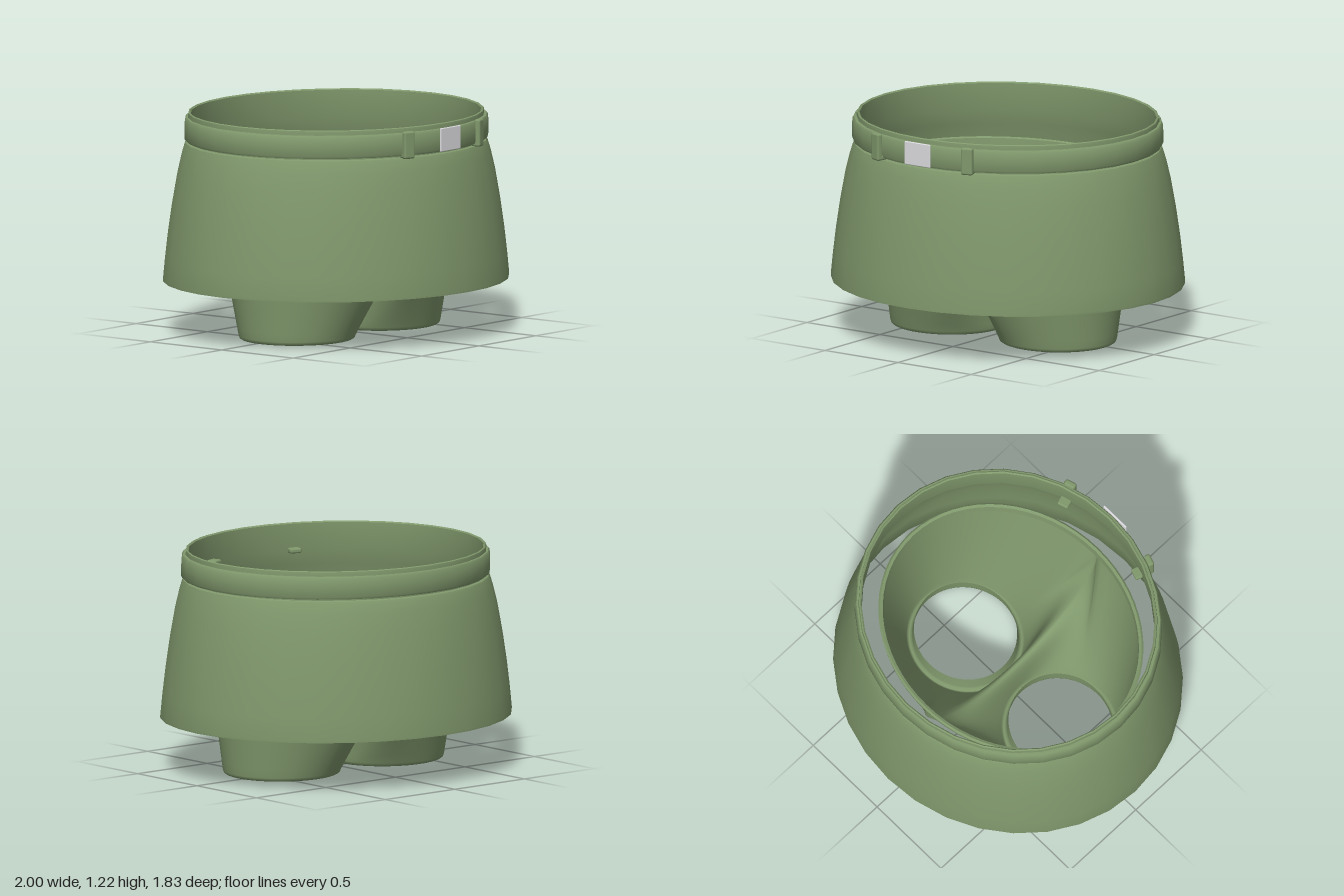
import * as THREE from 'three';
import { mergeGeometries, mergeVertices, toCreasedNormals } from 'three/addons/utils/BufferGeometryUtils.js';
import { RoundedBoxGeometry } from 'three/addons/geometries/RoundedBoxGeometry.js';

const cloth = new THREE.MeshStandardMaterial({ color: 0x80986c, side: THREE.DoubleSide });
cloth.name = 'green cloth';
const metal = new THREE.MeshStandardMaterial({ color: 0xdcdce0 });
metal.name = 'pale metal';

// Skin a stack of closed loops; point(row, col) returns [x, y, z]
function loft(rows, cols, point, flip = false) {
  const pos = [], idx = [];
  for (let j = 0; j < rows; j++) for (let i = 0; i < cols; i++) pos.push(...point(j, i));
  for (let j = 0; j < rows - 1; j++) for (let i = 0; i < cols; i++) {
    const n = (i + 1) % cols;
    const a = j * cols + i, b = j * cols + n, c = a + cols, d = b + cols;
    if (flip) idx.push(a, b, c, b, d, c);
    else idx.push(a, c, b, b, c, d);
  }
  const geo = new THREE.BufferGeometry();
  geo.setAttribute('position', new THREE.Float32BufferAttribute(pos, 3));
  geo.setIndex(idx);
  return geo;
}

// Elliptical lathe: profile of [radiusX, y, radiusZ]
function ellipseLathe(profile, cols, zc = 0) {
  const geo = loft(profile.length, cols, (j, i) => {
    const t = (i / cols) * Math.PI * 2;
    const [rx, y, rz] = profile[j];
    return [rx * Math.cos(t), y, zc + rz * Math.sin(t)];
  });
  return toCreasedNormals(geo, 0.75);
}

function add(parent, name, geo, mat) {
  const mesh = new THREE.Mesh(geo, mat);
  mesh.name = name;
  parent.add(mesh);
  return mesh;
}

// One half of the shorts: a leg opening lofted to half the waist plus the U-shaped seam
function shortsHalf(side) {
  const COLS = 64, STEPS = 20, ZC = 0.015, RIM = 0.92;
  const T = THREE.MathUtils.degToRad(110);
  const hem = [[0.04, 0.12], [0.032, 0.03], [0.027, 0.01], [0.015, 0], [0.005, 0.006]];
  return loft(hem.length + STEPS + 1, COLS, (j, i) => {
    let t = (i / COLS) * Math.PI * 2;
    if (t > Math.PI * 2 - T) t -= Math.PI * 2;
    const ring = (inset, y) => new THREE.Vector3(
      0.37 + (0.33 - inset) * Math.cos(t), y, 0.03 + (0.315 - inset) * Math.sin(t));
    let p;
    if (j < hem.length) p = ring(...hem[j]);
    else {
      const start = ring(0, 0.02), end = new THREE.Vector3();
      let w = 0;
      if (t <= T) {
        const a = (t / T) * Math.PI / 2;
        end.set(0.78 * Math.cos(a), RIM, ZC + 0.665 * Math.sin(a));
      } else {
        const a = ((t - T) / (2 * Math.PI - 2 * T)) * Math.PI;
        w = Math.sin(a);
        end.set(0, RIM - 0.66 * w, ZC + 0.665 * Math.cos(a));
      }
      const ctrl = start.clone().lerp(end, 0.5)
        .lerp(new THREE.Vector3(start.x, end.y, end.z), w);
      p = new THREE.QuadraticBezierCurve3(start, ctrl, end).getPoint((j - hem.length) / STEPS);
      if (j === hem.length + STEPS && t > T) p.x = 0;
    }
    return [p.x * side, p.y, p.z];
  }, side < 0);
}

export function createModel() {
  const group = new THREE.Group();

  // Flared skirt with thin wall, closed at hem and waist
  add(group, 'skirt', ellipseLathe([
    [0.975, 0.3, 0.895], [0.985, 0.288, 0.905], [0.997, 0.288, 0.916], [0.998, 0.3, 0.916],
    [0.986, 0.42, 0.905], [0.969, 0.56, 0.89], [0.945, 0.72, 0.868], [0.915, 0.88, 0.842],
    [0.89, 0.98, 0.82], [0.872, 1.035, 0.805], [0.866, 1.05, 0.798], [0.85, 1.055, 0.784],
    [0.852, 1.2, 0.785], [0.85, 1.213, 0.783], [0.843, 1.217, 0.776], [0.836, 1.21, 0.768],
    [0.836, 1.06, 0.768], [0.862, 0.98, 0.79], [0.893, 0.86, 0.82], [0.925, 0.7, 0.848],
    [0.952, 0.52, 0.873], [0.975, 0.3, 0.895],
  ], 32), cloth);

  // Belt with softened edges
  add(group, 'belt', ellipseLathe([
    [0.848, 1.062, 0.782], [0.872, 1.064, 0.798], [0.878, 1.075, 0.804], [0.878, 1.13, 0.804],
    [0.874, 1.178, 0.802], [0.866, 1.188, 0.796], [0.845, 1.19, 0.78],
  ], 32, 0.003), cloth);

  // Belt loops, each with a tab running through the waist
  for (const x of [-0.318, 0.294]) {
    const loop = new THREE.Group();
    loop.name = 'beltLoop';
    loop.position.set(x, 1.125, 0.755);
    loop.rotation.y = x * 1.05;
    add(loop, 'loopFront', new RoundedBoxGeometry(0.068, 0.152, 0.035, 2, 0.012), cloth).position.z = 0.01;
    add(loop, 'loopTab', new RoundedBoxGeometry(0.068, 0.028, 0.1, 2, 0.01), cloth).position.set(0, -0.06, -0.035);
    group.add(loop);
  }

  // Buckle plate
  add(group, 'buckle', new RoundedBoxGeometry(0.175, 0.13, 0.012, 2, 0.005), metal)
    .position.set(-0.01, 1.13, 0.808);

  // Shorts underneath: two mirrored halves welded along the seam
  const shorts = new THREE.Group();
  shorts.name = 'shorts';
  shorts.position.x = -0.007;
  const body = mergeVertices(mergeGeometries([shortsHalf(1), shortsHalf(-1)]), 1e-4);
  body.computeVertexNormals();
  add(shorts, 'shortsBody', body, cloth);
  add(shorts, 'shortsWaistband', ellipseLathe([
    [0.779, 0.9, 0.664], [0.782, 0.925, 0.667], [0.772, 0.934, 0.657],
    [0.757, 0.928, 0.642], [0.752, 0.88, 0.637],
  ], 64, 0.015), cloth);
  group.add(shorts);

  return group;
}
